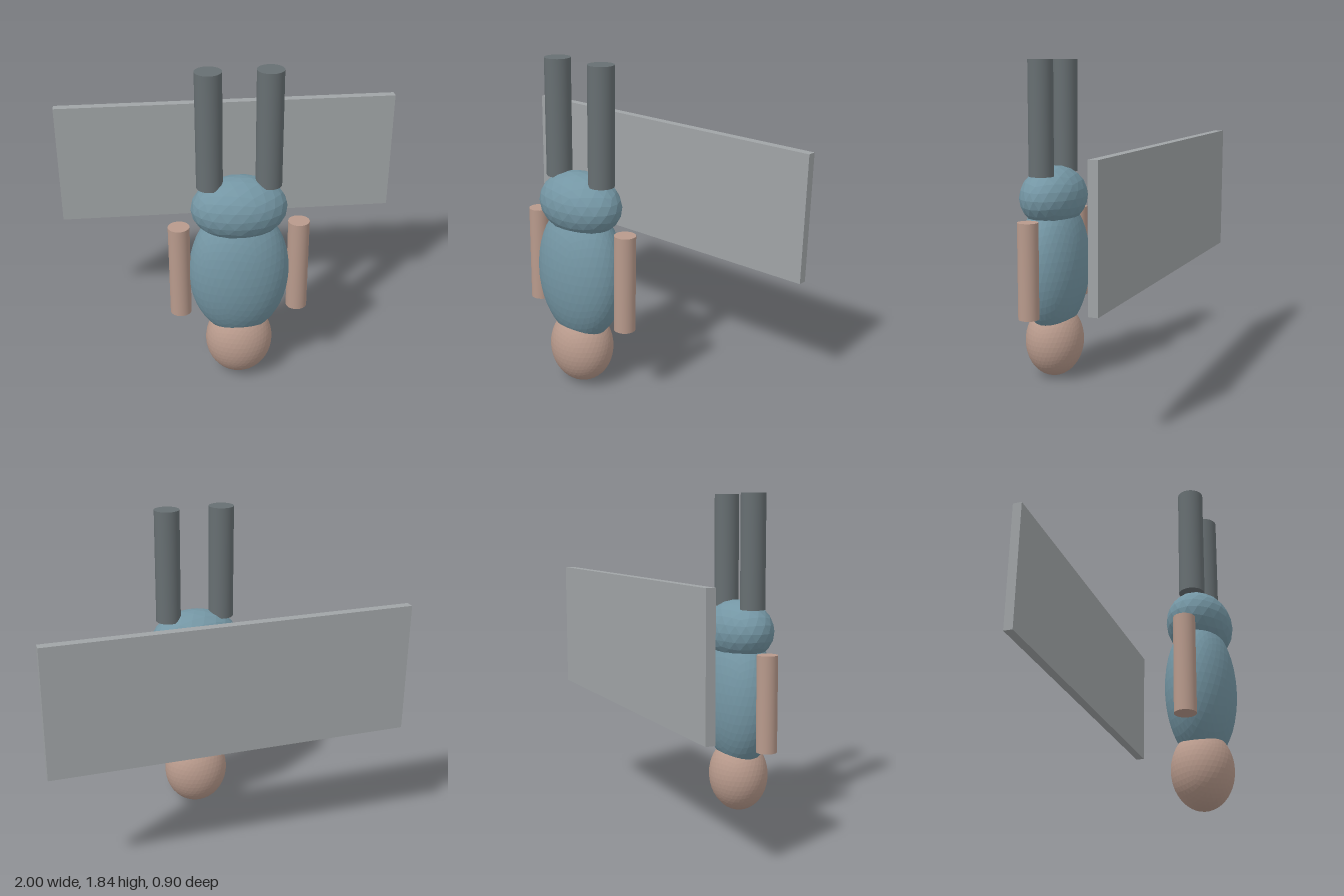
import * as THREE from 'three';

export function createModel() {
  const model = new THREE.Group();
  model.name = 'invertedFigureWithPanel';
  const mat = (name, color, flatShading = false) => {
    const m = new THREE.MeshStandardMaterial({ color, flatShading });
    m.name = name;
    return m;
  };
  const skin = mat('skin', 0xb89a8c);
  const blue = mat('clothBlue', 0x7496a4);
  const dark = mat('darkGrey', 0x676f72);
  const grey = mat('panelGrey', 0xa0a4a6);
  const Z = 0.26; // depth of the figure's centre line

  const add = (name, geometry, material, x, y, z) => {
    const mesh = new THREE.Mesh(geometry, material);
    mesh.name = name;
    mesh.position.set(x, y, z);
    model.add(mesh);
  };

  // Faceted ellipsoid with a vertex at each pole
  const ellipsoid = (rx, ry, rz, detail) => {
    const g = new THREE.IcosahedronGeometry(1, detail);
    g.rotateZ(-Math.atan(2 / (1 + Math.sqrt(5))));
    g.scale(rx, ry, rz);
    // One normal per facet
    g.computeVertexNormals();
    return g;
  };

  // Upside-down body: head lowest, hips highest
  add('head', ellipsoid(0.19, 0.215, 0.168, 7), skin, 0, 0.217, Z);
  add('torso', ellipsoid(0.278, 0.405, 0.19, 7), blue, 0, 0.672, Z);
  add('hips', ellipsoid(0.262, 0.177, 0.18, 3), blue, 0, 1.069, Z);

  // Limbs
  for (const [side, s] of [['left', 1], ['right', -1]]) {
    add(side + 'Arm', new THREE.CylinderGeometry(0.059, 0.059, 0.545, 32), skin, s * 0.328, 0.693, Z);
    add(side + 'Leg', new THREE.CylinderGeometry(0.071, 0.071, 0.645, 32), dark, s * 0.158, 1.5225, Z);
  }

  // Thin board behind the figure
  add('backPanel', new THREE.BoxGeometry(2, 0.725, 0.05), grey, 0, 1.0375, -0.425);
  return model;
}
